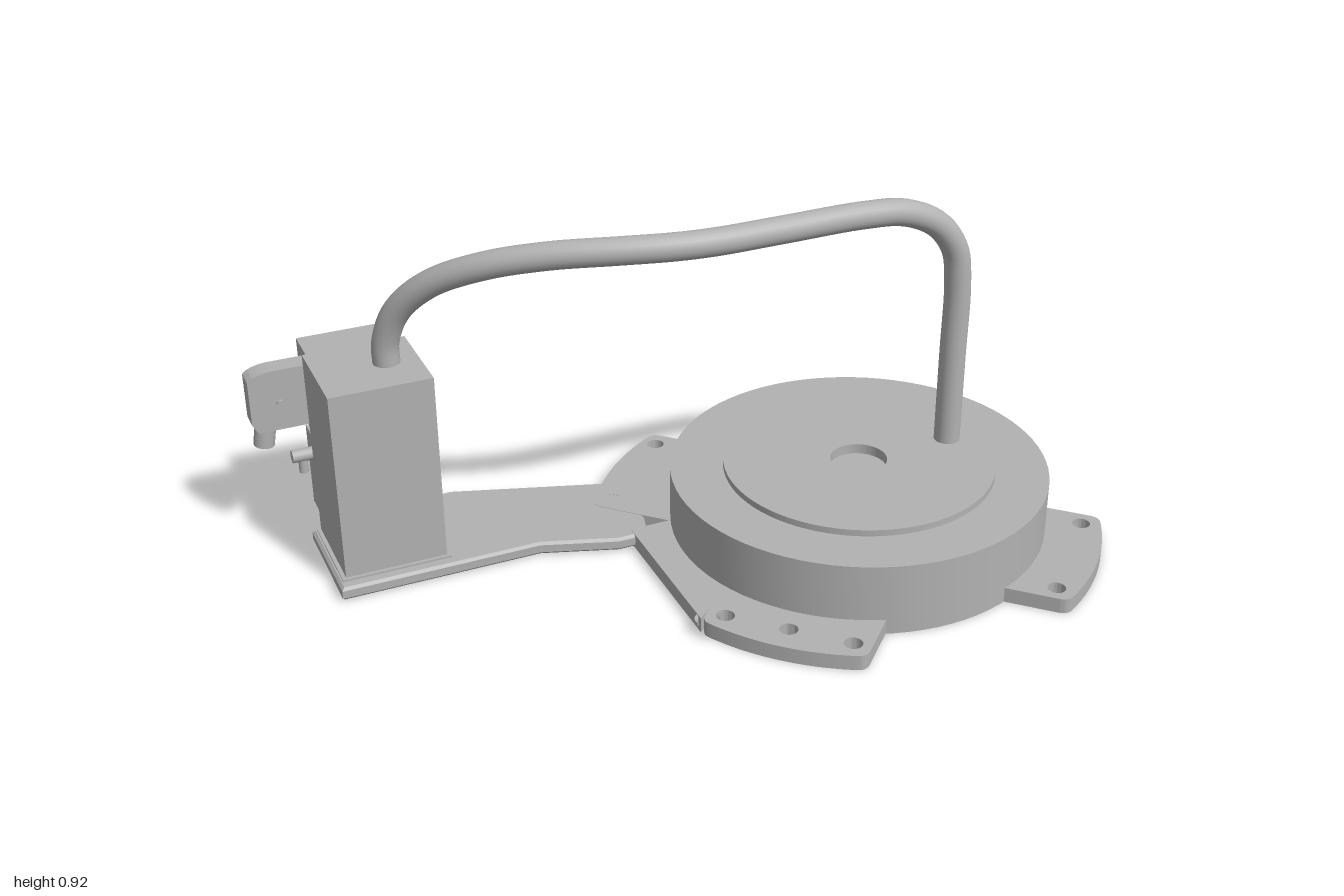
import * as THREE from 'three';
import { toCreasedNormals } from 'three/addons/utils/BufferGeometryUtils.js';

const CX = 0.433, CZ = 0.03; // centre of the round body

export function createModel() {
  const model = new THREE.Group();
  const grey = new THREE.MeshStandardMaterial({ color: 0xb2b2b2 });
  grey.name = 'grey metal';

  const add = (name, geometry, x = 0, y = 0, z = 0) => {
    const mesh = new THREE.Mesh(geometry, grey);
    mesh.name = name;
    mesh.position.set(x, y, z);
    model.add(mesh);
    return mesh;
  };
  // box given by its limits
  const box = (name, x0, x1, y0, y1, z0, z1) => add(name,
    new THREE.BoxGeometry(x1 - x0, y1 - y0, z1 - z0), (x0 + x1) / 2, (y0 + y1) / 2, (z0 + z1) / 2);
  const hole = (x, y, r = 0.023) => new THREE.Path().absarc(x, y, r, 0, Math.PI * 2, true);
  // shape drawn as (x, -z), lying flat with its underside at y = 0
  const slab = (shape, depth, bevel = 0) => {
    const g = new THREE.ExtrudeGeometry(shape, {
      depth: depth - 2 * bevel, curveSegments: 20, bevelEnabled: bevel > 0,
      bevelSize: bevel, bevelThickness: bevel, bevelOffset: -bevel, bevelSegments: 1,
    });
    g.translate(0, 0, bevel);
    return toCreasedNormals(g.rotateX(-Math.PI / 2), 0.6);
  };
  const polygon = (points) => new THREE.Shape(points.map(([x, z]) => new THREE.Vector2(x, -z)));

  // round body with raised disc and shallow centre recess
  const profile = [[0, 0], [0.487, 0], [0.487, 0.19], [0.35, 0.19], [0.35, 0.207],
    [0.073, 0.207], [0.073, 0.18], [0, 0.18]].map(([x, y]) => new THREE.Vector2(x, y));
  add('roundBody', toCreasedNormals(new THREE.LatheGeometry(profile, 80), 0.6), CX, 0, CZ);

  // mounting tabs: angle, outer radius, distance of the holes, hole offsets
  const tabs = [
    ['backLeftTab', 45, 0.633, 0.563, [-0.16, 0, 0.16]],
    ['backRightTab', 135, 0.69, 0.63, [-0.157, 0.157]],
    ['frontRightTab', 225, 0.633, 0.56, [-0.16, 0, 0.16]],
    ['frontLeftTab', 315, 0.633, 0.56, [-0.16, 0.16]],
  ];
  for (const [name, degrees, radius, holeAt, offsets] of tabs) {
    const w = 0.206, a = Math.asin((w - 0.02) / radius);
    const side = Math.sqrt(radius * radius - w * w) - 0.025;
    const s = new THREE.Shape();
    s.moveTo(0.35, -w);
    s.lineTo(side, -w);
    s.quadraticCurveTo(side + 0.025, -w, radius * Math.cos(a), -radius * Math.sin(a));
    s.absarc(0, 0, radius, -a, a, false);
    s.quadraticCurveTo(side + 0.025, w, side, w);
    s.lineTo(0.35, w);
    s.closePath();
    offsets.forEach((o) => s.holes.push(hole(holeAt, o)));
    add(name, slab(s, 0.04), CX, 0, CZ).rotation.y = THREE.MathUtils.degToRad(degrees);
  }
  // straight side of the flange
  add('flangeSide', slab(polygon([[-0.135, 0.3], [-0.135, -0.14], [0.1, -0.14], [0.1, 0.25], [-0.1, 0.27]]), 0.04));

  // arm and foot plate for the control box
  const arm = polygon([[-0.886, -0.175], [-0.37, -0.175], [-0.18, -0.11], [-0.1, -0.11], [-0.06, -0.25],
    [-0.09, -0.385], [-0.5, -0.52], [-0.84, -0.52], [-0.84, -0.476], [-0.886, -0.476]]);
  arm.holes.push(hole(-0.12, -0.305, 0.024));
  add('arm', slab(arm, 0.035, 0.007), 0, 0.004, 0);
  box('footPad', -0.875, -0.595, 0.03, 0.044, -0.47, -0.205);

  // control box with two valve blocks on its back
  box('controlBox', -0.865, -0.605, 0.04, 0.545, -0.465, -0.215);
  box('lowerBlock', -0.85, -0.62, 0.053, 0.281, -0.595, -0.464);
  box('upperBlock', -0.85, -0.62, 0.303, 0.53, -0.595, -0.464);

  // plug with rounded top corner, screw and cable outlet
  const plug = new THREE.Shape();
  plug.moveTo(-0.845, 0.335);
  plug.lineTo(-0.845, 0.5);
  plug.lineTo(-0.94, 0.5);
  plug.quadraticCurveTo(-0.985, 0.497, -1, 0.48);
  plug.lineTo(-1, 0.36);
  plug.lineTo(-0.985, 0.335);
  plug.closePath();
  add('plug', toCreasedNormals(new THREE.ExtrudeGeometry(plug, { depth: 0.056, bevelEnabled: false }), 0.5), 0, 0, -0.554);
  add('plugScrew', new THREE.CylinderGeometry(0.009, 0.009, 0.074, 16), -0.925, 0.41, -0.527).rotation.x = Math.PI / 2;
  add('cableOutlet', new THREE.CylinderGeometry(0.028, 0.026, 0.065, 24), -0.967, 0.319, -0.526).rotation.z = -0.15;

  // small fitting on the lower block
  add('fittingStem', new THREE.CylinderGeometry(0.017, 0.017, 0.06, 20), -0.876, 0.233, -0.53).rotation.z = Math.PI / 2;
  add('fittingOutlet', new THREE.CylinderGeometry(0.012, 0.012, 0.045, 20), -0.879, 0.207, -0.53);

  // bent pipe from the control box to the round body
  const path = new THREE.CatmullRomCurve3([
    [-0.685, 0.535, -0.345], [-0.684, 0.6, -0.343], [-0.657, 0.69, -0.315], [-0.59, 0.775, -0.25],
    [-0.48, 0.838, -0.16], [-0.35, 0.87, -0.083], [-0.2, 0.882, -0.017], [-0.08, 0.884, 0.017],
    [0.02, 0.884, 0.03], [0.2, 0.884, 0.03], [0.42, 0.884, 0.03], [0.53, 0.872, 0.03], [0.625, 0.825, 0.03],
    [0.68, 0.75, 0.03], [0.695, 0.66, 0.03], [0.695, 0.45, 0.03], [0.695, 0.195, 0.03],
  ].map((p) => new THREE.Vector3(...p)));
  add('pipe', new THREE.TubeGeometry(path, 120, 0.034, 24));

  return model;
}
